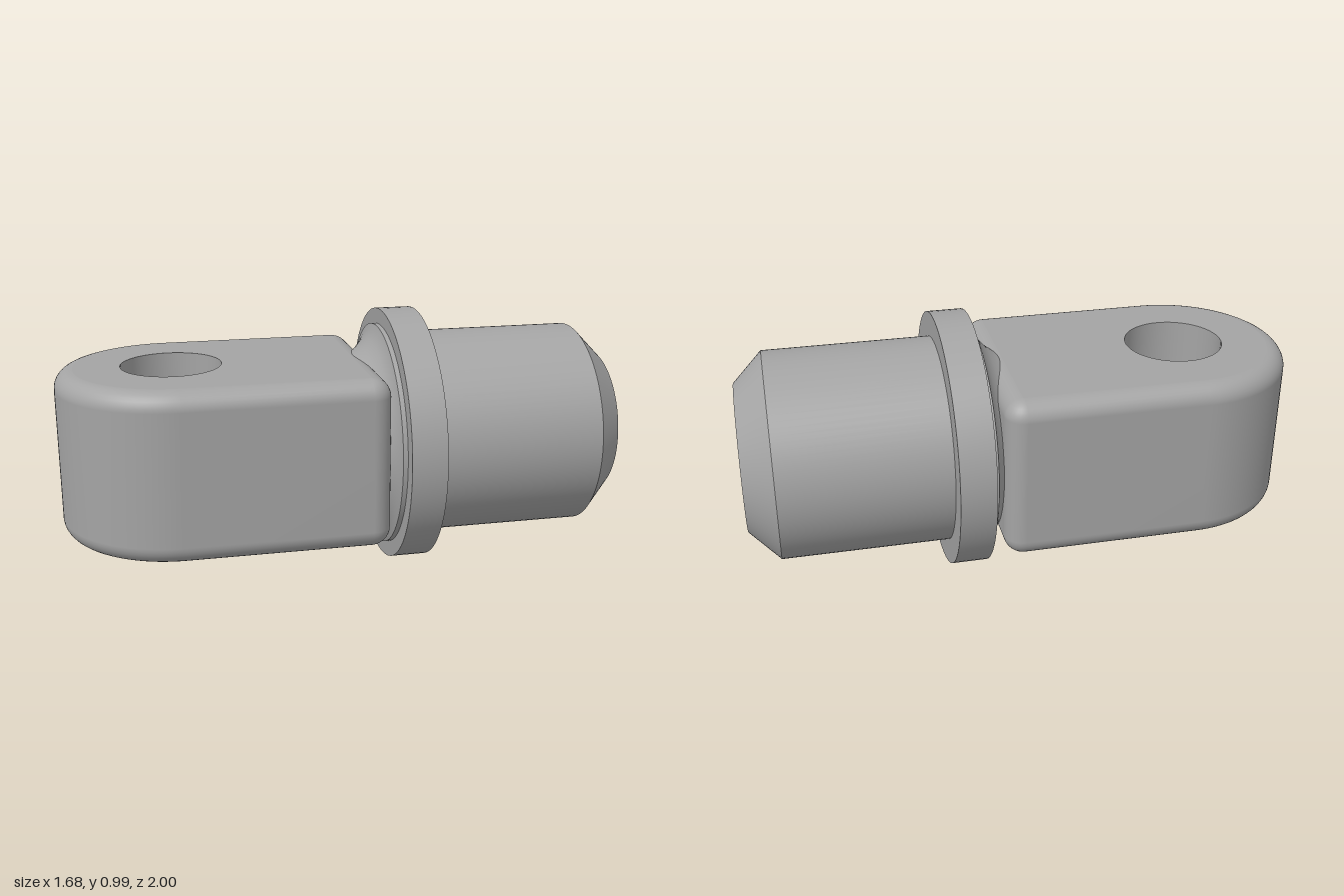
import * as THREE from 'three';
import { toCreasedNormals } from 'three/addons/utils/BufferGeometryUtils.js';

const R = 0.435;       // half width of the eye block
const H = 0.322;       // half height of the eye block
const END = 0.765;     // where the block meets the neck
const EDGE = 0.07;     // rounding of the block edges
const CORNER = 0.075;  // rounding of the block's far corners
const HOLE = 0.19;

// Outline of the block seen from above, pulled in by d
function outline(d) {
  const pts = [];
  const arc = (cx, cy, r, from, to, n) => {
    for (let i = 0; i <= n; i++) {
      const a = from + (to - from) * i / n;
      pts.push(new THREE.Vector2(cx + r * Math.cos(a), cy + r * Math.sin(a)));
    }
  };
  arc(0, 0, R - d, Math.PI, 2 * Math.PI, 48);
  arc(R - CORNER, END - CORNER, CORNER - d, 0, Math.PI / 2, 8);
  arc(CORNER - R, END - CORNER, CORNER - d, Math.PI / 2, Math.PI, 8);
  return pts;
}

// Block wall with rounded upper and lower edges
function wallGeometry() {
  const levels = [], steps = 8;
  for (const side of [-1, 1]) {
    for (let i = 0; i <= steps; i++) {
      const a = (side < 0 ? steps - i : i) / steps * Math.PI / 2;
      levels.push([EDGE * (1 - Math.cos(a)), side * (H - EDGE + EDGE * Math.sin(a))]);
    }
  }
  const pos = [], index = [], n = outline(0).length;
  levels.forEach(([d, y], j) => {
    outline(d).forEach((p, i) => {
      pos.push(p.x, y, -p.y);
      if (j === levels.length - 1) return;
      const a = j * n + i, b = j * n + (i + 1) % n;
      index.push(a, b, b + n, a, b + n, a + n);
    });
  });
  const g = new THREE.BufferGeometry();
  g.setAttribute('position', new THREE.Float32BufferAttribute(pos, 3));
  g.setIndex(index);
  g.computeVertexNormals();
  return g;
}

// Turned part along the pin axis from [radius, distance] pairs
function turned(profile, crease) {
  const g = new THREE.LatheGeometry(profile.map(p => new THREE.Vector2(...p)), 96);
  g.rotateX(-Math.PI / 2);
  return toCreasedNormals(g, crease);
}

export function createModel() {
  const steel = new THREE.MeshStandardMaterial({ color: 0xa4a4a4 });
  steel.name = 'grey steel';
  const model = new THREE.Group();
  model.name = 'eyePin';
  const pin = new THREE.Group();
  pin.name = 'pinAssembly';
  const add = (name, geometry, parent = pin) => {
    const mesh = new THREE.Mesh(geometry, steel);
    mesh.name = name;
    parent.add(mesh);
    return mesh;
  };

  // Eye block: wall, two flat faces and the cross hole
  const eye = new THREE.Group();
  eye.name = 'eyeBlock';
  pin.add(eye);
  add('eyeWall', wallGeometry(), eye);
  const face = new THREE.Shape(outline(EDGE));
  face.holes.push(new THREE.Path().absarc(0, 0, HOLE, 0, 2 * Math.PI, true));
  const cap = new THREE.ShapeGeometry(face, 32).rotateX(-Math.PI / 2);
  add('eyeTop', cap, eye).position.y = H;
  const bottom = add('eyeBottom', cap, eye);
  bottom.position.y = -H;
  bottom.rotation.z = Math.PI;
  add('eyeHole', new THREE.LatheGeometry(
    [new THREE.Vector2(HOLE, H), new THREE.Vector2(HOLE, -H)], 64), eye);

  // Hollow fillet between block and collar
  add('neck', turned([[0.28, 0.64], [0.31, 0.685], [0.327, 0.715], [0.35, 0.745],
    [0.38, 0.772], [0.41, 0.789], [0.435, 0.797], [0.435, 0.815]], 0.7));

  // Collar and chamfered shaft
  add('collar', turned([[0, 0.815], [0.495, 0.815], [0.495, 0.951], [0, 0.951]], 0.5));
  add('shaft', turned([[0.4, 0.94], [0.4, 1.595], [0.285, 1.709], [0, 1.709]], 0.5));

  pin.rotation.y = THREE.MathUtils.degToRad(-35);
  pin.position.set(-0.405, 0.495, 0.56);
  model.add(pin);
  return model;
}
